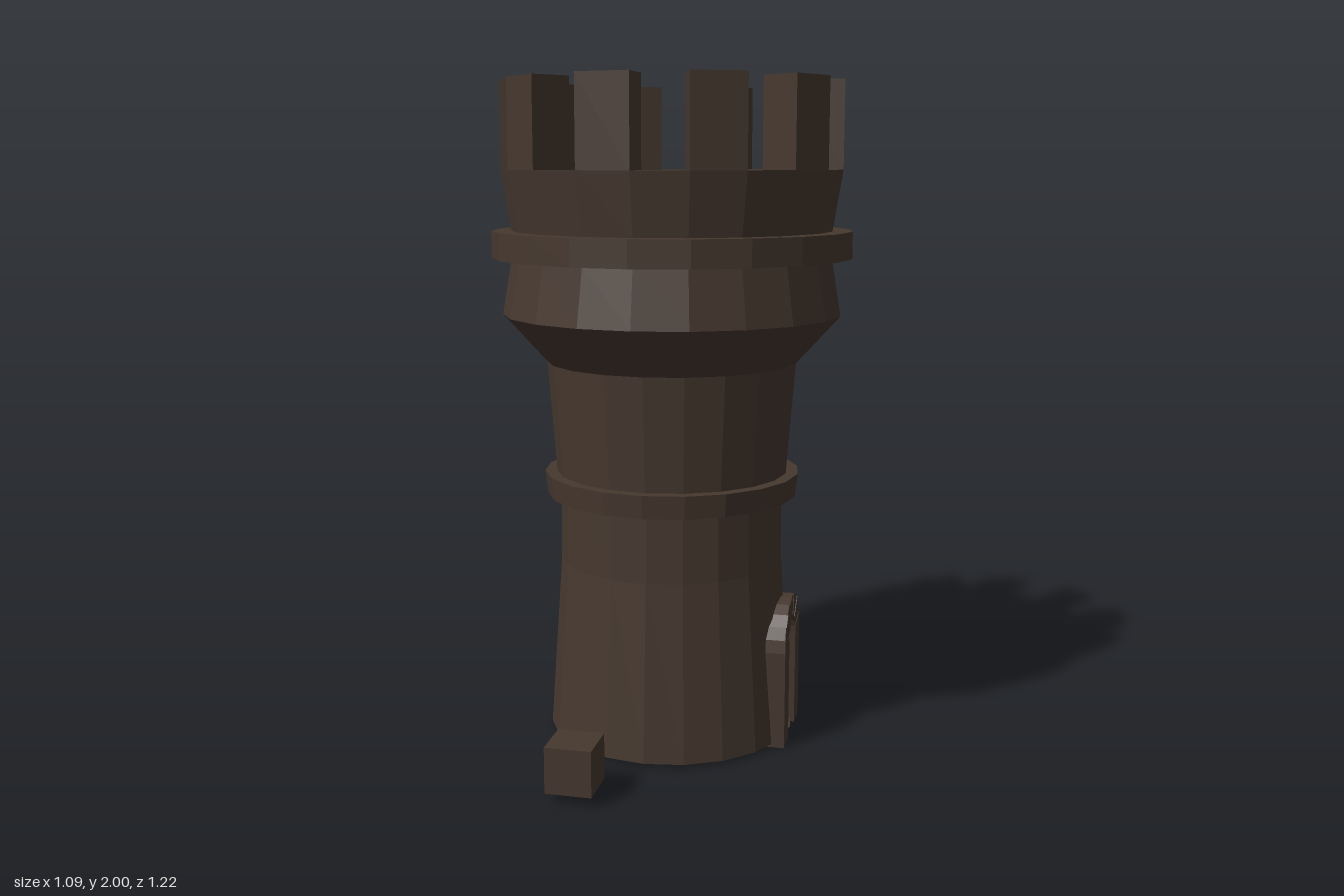
import * as THREE from 'three';

const SIDES = 20, STEP = (Math.PI * 2) / SIDES;

export function createModel() {
  const stone = new THREE.MeshStandardMaterial({ color: 0x46382f, side: THREE.DoubleSide, flatShading: true });
  stone.name = 'dark stone';
  const model = new THREE.Group();
  const tower = new THREE.Group();
  tower.name = 'tower';
  tower.position.z = -0.068;
  model.add(tower);

  const add = (name, geometry, parent = tower) => {
    const mesh = new THREE.Mesh(geometry, stone);
    mesh.name = name;
    parent.add(mesh);
    return mesh;
  };
  const points = (list) => list.map(([x, y]) => new THREE.Vector2(x, y));
  const lathe = (list, start = 0, count = SIDES) =>
    new THREE.LatheGeometry(points(list), count, start * STEP, count * STEP);
  const polar = (r, k) => [r * Math.sin(k * STEP), r * Math.cos(k * STEP)];
  // Horizontal slab whose top lies at the given height
  const slab = (outline, top, depth) =>
    new THREE.ExtrudeGeometry(new THREE.Shape(points(outline)), { depth, bevelEnabled: false })
      .rotateX(Math.PI / 2).translate(0, top, 0);

  // Lower wall, leaving the two sides at +x free for the doorway
  add('lowerWall', lathe([[0.382, 0.01], [0.345, 0.55]], 6, 18));
  add('lowerInnerWall', lathe([[0.3, 0.01], [0.3, 0.55]], 6, 18));
  add('base', lathe([[0, 0.01], [0.382, 0.01]]));

  // Wall sides with the arched doorway cut out, one per half
  const doorWall = (name, r0, r1, side) => {
    const radius = (y) => r0 + ((r1 - r0) * (y - 0.01)) / 0.54;
    const s = Math.sin(STEP);
    const shape = new THREE.Shape();
    shape.moveTo(0.065, 0.01);
    shape.lineTo(r0 * s, 0.01);
    shape.lineTo(r1 * s, 0.55);
    shape.lineTo(0, 0.55);
    shape.lineTo(0, 0.375);
    for (let i = 1; i <= 5; i++) {
      const a = Math.PI / 2 * (1 - i / 5);
      shape.lineTo(0.065 * Math.cos(a), 0.3 + 0.075 * Math.sin(a));
    }
    const geometry = new THREE.ShapeGeometry(shape);
    const p = geometry.attributes.position;
    for (let i = 0; i < p.count; i++) {
      const u = p.getX(i), y = p.getY(i);
      p.setXYZ(i, radius(y) - u * Math.tan(STEP / 2), y, side * u);
    }
    if (side > 0) {
      const index = geometry.index.array;
      for (let i = 0; i < index.length; i += 3) [index[i], index[i + 1]] = [index[i + 1], index[i]];
    }
    geometry.computeVertexNormals();
    add(name, geometry);
  };
  for (const side of [-1, 1]) {
    doorWall('doorWall', 0.382, 0.345, side);
    doorWall('doorInnerWall', 0.3, 0.3, side);
  }

  // Upper body, bands and interior
  add('middleWall', lathe([[0.345, 0.55], [0.343, 0.79], [0.356, 0.825], [0.382, 1.165]]));
  add('lowerBand', lathe([[0.34, 0.755], [0.385, 0.755], [0.393, 0.825], [0.35, 0.825]]));
  add('flaredTop', lathe([[0.382, 1.165], [0.513, 1.31], [0.484, 1.48], [0.484, 1.56], [0.513, 1.74]]));
  add('upperBand', lathe([[0.48, 1.48], [0.544, 1.48], [0.544, 1.56], [0.48, 1.56]]));
  add('parapet', lathe([[0.513, 1.74], [0.384, 1.74], [0.384, 1.58]]));
  add('upperRoom', lathe([[0.384, 1.58], [0.335, 1.2], [0, 1.2]]));
  add('innerWall', lathe([[0.3, 0.55], [0.3, 1.2]]));

  // Roof floor with a stair opening beside the wall
  const roof = [];
  for (let k = 18; k <= 35; k++) roof.push(polar(0.384, k));
  roof.push([-0.22, 0], [-0.135, 0.085], [-0.135, 0.21]);
  add('roofFloor', slab(roof, 1.62, 0.04));

  // Battlement: alternate wall sides rise as merlons
  for (let k = -1; k < SIDES - 1; k += 2) {
    add('merlon', slab([polar(0.513, k), polar(0.513, k + 1), polar(0.384, k + 1), polar(0.384, k)], 2, 0.26));
  }

  // Steep steps leaning up to the roof opening
  const stairs = new THREE.Group();
  stairs.name = 'stairs';
  stairs.rotation.y = Math.PI + 0.46;
  tower.add(stairs);
  for (let i = 0; i < 10; i++) {
    const tread = add('tread', new THREE.BoxGeometry(0.025, 0.02, 0.088), stairs);
    tread.position.set(0.25 + i * 0.0115, 1.22 + i * 0.037, 0.03);
  }

  // Door surround: two jambs and a ring of wedge stones
  const surround = new THREE.Group();
  surround.name = 'doorSurround';
  tower.add(surround);
  for (const side of [-1, 1]) {
    add('jamb', new THREE.BoxGeometry(0.085, 0.3, 0.087), surround).position.set(0.3425, 0.15, side * 0.1085);
  }
  const wedges = 11;
  const arch = (t, rx, ry) => [rx * Math.cos(t), 0.3 + ry * Math.sin(t)];
  for (let i = 0; i < wedges; i++) {
    const a = (i / wedges) * Math.PI, b = ((i + 1) / wedges) * Math.PI;
    const shape = new THREE.Shape(points([
      arch(a, 0.065, 0.075), arch(a, 0.152, 0.14), arch(b, 0.152, 0.14), arch(b, 0.065, 0.075)]));
    add('archStone', new THREE.ExtrudeGeometry(shape, { depth: i % 2 ? 0.083 : 0.085, bevelEnabled: false })
      .rotateY(Math.PI / 2).translate(0.3, 0, 0), surround);
  }

  // Small flush stone panel on the back wall
  const panel = new THREE.Group();
  panel.name = 'backPanel';
  panel.rotation.y = Math.PI / 4;
  tower.add(panel);
  const plate = add('smallPlate', new THREE.BoxGeometry(0.006, 0.12, 0.08), panel);
  plate.position.set(0.361, 0.24, 0);
  plate.rotation.z = 0.068;

  // Loose block in front of the tower
  add('looseBlock', new THREE.BoxGeometry(0.136, 0.136, 0.136), model).position.set(-0.142, 0.097, 0.543);

  return model;
}
